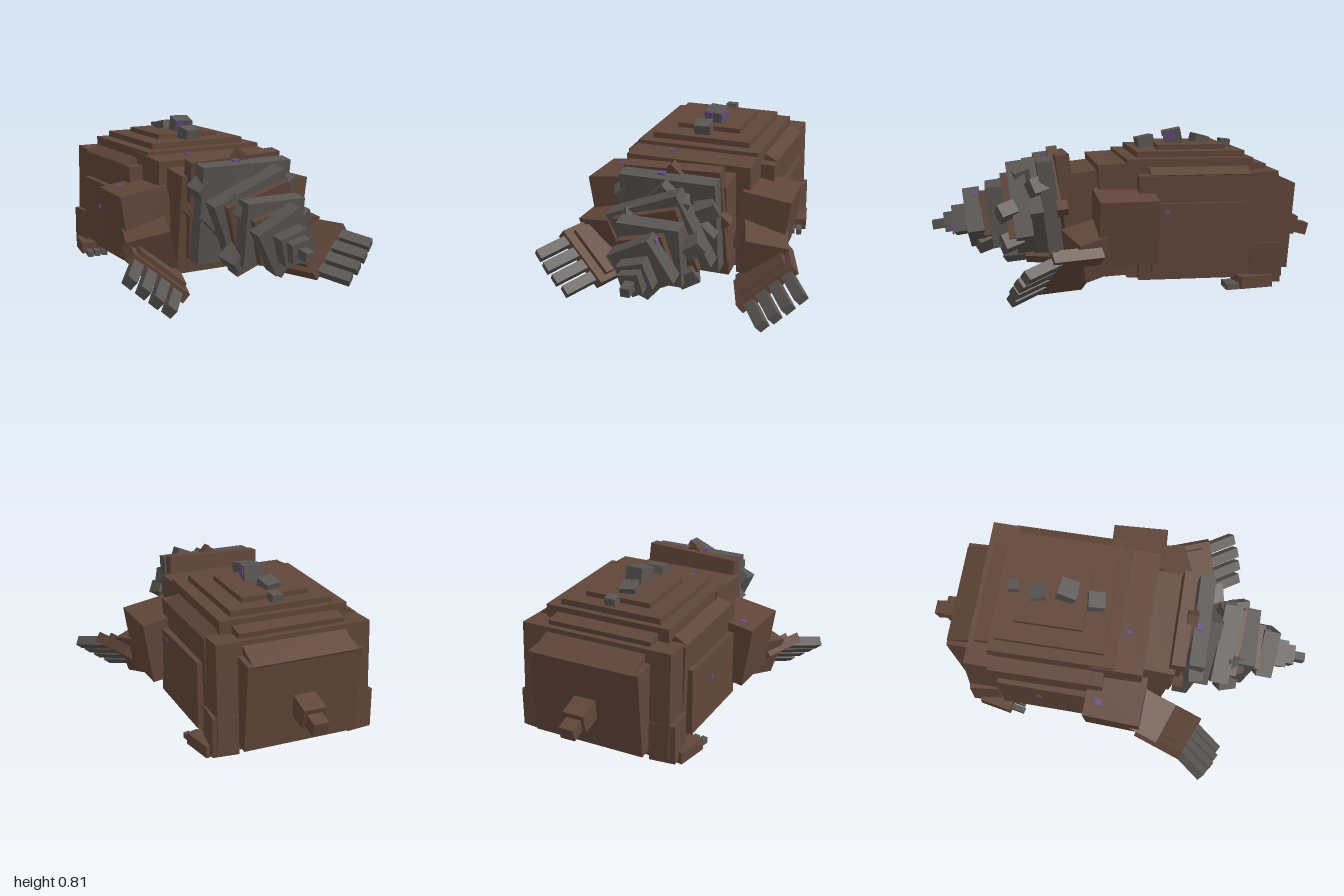
import * as THREE from 'three';

export function createModel() {
  const model = new THREE.Group();
  const CX = -0.02; // symmetry plane of the body
  const mat = (name, color) => {
    const m = new THREE.MeshStandardMaterial({ color });
    m.name = name;
    return m;
  };
  const fur = mat('brown fur', 0x61463a);
  const stone = mat('grey stone', 0x595552);
  const gem = mat('purple speck', 0x68498a);

  // Box by centre, size and rotation
  function box(name, m, pos, size, rot = [0, 0, 0], parent = model) {
    const mesh = new THREE.Mesh(new THREE.BoxGeometry(...size), m);
    mesh.name = name;
    mesh.position.set(...pos);
    mesh.rotation.set(...rot);
    parent.add(mesh);
    return mesh;
  }
  // Box by its limits
  const span = (name, m, [x0, x1], [y0, y1], [z0, z1], rx = 0) =>
    box(name, m, [(x0 + x1) / 2, (y0 + y1) / 2, (z0 + z1) / 2],
      [x1 - x0, y1 - y0, z1 - z0], [rx, 0, 0]);

  // Body, from front to back
  span('neck', fur, [-0.305, 0.235], [0.1, 0.605], [0.08, 0.3], 0.12);
  span('chest', fur, [-0.35, 0.31], [0.09, 0.65], [-0.1, 0.16], 0.05);
  span('torso', fur, [-0.345, 0.31], [0.075, 0.67], [-0.61, 0.03]);
  span('belly', fur, [-0.29, 0.25], [0.065, 0.08], [-0.56, -0.04]);
  span('hip', fur, [-0.41, 0.375], [0.07, 0.605], [-0.735, -0.57], 0.05);
  span('rump', fur, [-0.305, 0.27], [0.1, 0.54], [-0.825, -0.64], -0.08);
  span('rumpSlope', fur, [-0.28, 0.245], [0.48, 0.57], [-0.835, -0.66], -0.42);
  span('hipTop', fur, [-0.29, 0.25], [0.6, 0.64], [-0.69, -0.55], -0.12);

  // Stepped hump
  span('humpLower', fur, [-0.285, 0.245], [0.66, 0.7], [-0.58, -0.03]);
  span('humpUpper', fur, [-0.19, 0.155], [0.69, 0.725], [-0.5, -0.15]);

  // Stones along the spine
  const spine = [
    [-0.03, 0.72, -0.11, 0.085, 0.2, 0.12],
    [-0.005, 0.75, -0.255, 0.095, 0.2, -0.15],
    [-0.03, 0.725, -0.4, 0.08, -0.25, 0.25],
    [-0.005, 0.715, -0.53, 0.055, -0.1, 0.05],
  ];
  for (const [x, y, z, s, rx, ry] of spine) {
    const rock = box('spineStone', stone, [x, y, z], [s, s * 0.9, s], [rx, ry, 0]);
    if (s > 0.09) {
      box('stoneSpeck', gem, [s / 2 + 0.002, 0.015, 0.01], [0.005, 0.035, 0.06], [0, 0, 0], rock);
      box('stoneSpeck', gem, [-0.025, 0.028, s / 2 + 0.002], [0.045, 0.028, 0.005], [0, 0, 0], rock);
    }
  }

  // Tail
  box('tailBase', fur, [CX, 0.285, -0.865], [0.11, 0.1, 0.13], [-0.25, 0, 0]);
  box('tailTip', fur, [CX, 0.255, -0.95], [0.075, 0.065, 0.095], [-0.25, 0, 0]);

  // Digging snout: shrinking plates, each twisted about a lowered axis
  const snout = new THREE.Group();
  snout.name = 'snout';
  model.add(snout);
  const axisY = z => 0.42 - (z - 0.36) * 0.175;
  const plates = [ // z, width, depth, twist, material
    [0.31, 0.5, 0.07, 0.04, fur],
    [0.345, 0.41, 0.055, 0.78, fur],
    [0.4, 0.49, 0.08, 0, stone],
    [0.47, 0.36, 0.07, 0.78, stone],
    [0.545, 0.4, 0.09, 0.4, stone],
    [0.6, 0.34, 0.05, 0.3, fur],
    [0.665, 0.31, 0.085, 0, stone],
    [0.72, 0.23, 0.05, 0.25, fur],
    [0.78, 0.24, 0.085, 0.5, stone],
    [0.845, 0.14, 0.09, 0.3, stone],
    [0.9, 0.1, 0.07, 0.2, stone],
    [0.955, 0.045, 0.085, 0, stone],
  ];
  for (const [z, w, d, twist, m] of plates)
    box('snoutPlate', m, [CX, axisY(z), z], [w, w, d], [0.13, 0, twist], snout);

  // Rough blocks lodged between the snout plates
  const rocks = [ // x, y, z, size, twist
    [-0.26, 0.55, 0.42, 0.08, 0.6], [0.08, 0.57, 0.55, 0.085, 1.1],
    [0.17, 0.4, 0.62, 0.09, 0.5], [-0.16, 0.48, 0.62, 0.09, 0.9],
    [0.13, 0.24, 0.6, 0.1, 0.4], [-0.17, 0.24, 0.6, 0.1, 0.7],
    [0.18, 0.53, 0.46, 0.1, 0.3], [-0.02, 0.22, 0.73, 0.09, 0.8],
  ];
  for (const [x, y, z, s, twist] of rocks)
    box('snoutRock', stone, [x, y, z], [s, s * 0.8, s], [0.3, 0.35, twist], snout);

  // Limbs, built once per side
  for (const s of [1, -1]) {
    const at = (x, y, z) => [CX + s * x, y, z];

    // Flank panels
    box('flankInner', fur, at(0.35, 0.335, -0.31), [0.09, 0.52, 0.58], [0, 0, -s * 0.03]);
    box('flankOuter', fur, at(0.392, 0.29, -0.32), [0.07, 0.34, 0.48], [0, s * 0.02, 0]);
    box('flankRidge', fur, at(0.345, 0.57, -0.33), [0.07, 0.1, 0.5], [0, 0, -s * 0.5]);

    // Hind leg, foot and toes
    box('hindLeg', fur, at(0.345, 0.15, -0.665), [0.13, 0.2, 0.15], [0, -s * 0.1, 0]);
    box('hindFoot', fur, at(0.385, 0.06, -0.595), [0.13, 0.06, 0.17], [0, s * 0.2, 0]);
    for (let i = -1; i <= 1; i++)
      box('hindToe', stone, at(0.395 + i * 0.04, 0.04, -0.49), [0.03, 0.03, 0.08], [0, s * 0.2, 0]);

    // Front arm
    box('shoulder', fur, at(0.393, 0.35, 0.05), [0.25, 0.32, 0.29], [0, s * 0.05, -s * 0.15]);
    box('forearm', fur, at(0.41, 0.24, 0.215), [0.22, 0.2, 0.2], [0.25, s * 0.3, -s * 0.3]);

    // Shovel hand, rolled outward, with four claws
    const hand = new THREE.Group();
    hand.name = 'hand';
    hand.position.set(s * 0.452 - 0.007, 0.145, 0.34);
    hand.rotation.set(0, s * 0.35, s * 0.68, 'YXZ');
    model.add(hand);
    box('palm', fur, [0, 0, 0], [0.34, 0.055, 0.26], [0, 0, 0], hand);
    box('wrist', fur, [0, 0.018, -0.02], [0.28, 0.065, 0.2], [0, 0, 0], hand);
    for (let i = -1.5; i <= 1.5; i++)
      box('claw', stone, [s * (0.01 + i * 0.077), -0.035, 0.195 - Math.abs(i) * 0.01],
        [0.055, 0.052, 0.21], [0.34, s * 0.08, 0], hand);
  }

  // Remaining specks
  box('flankSpeck', gem, [0.408, 0.42, -0.155], [0.009, 0.022, 0.022]);
  box('flankSpeck', gem, [-0.447, 0.33, -0.35], [0.009, 0.022, 0.022]);
  box('shoulderSpeck', gem, [-0.475, 0.5, -0.03], [0.03, 0.009, 0.03], [0, 0, 0.15]);
  box('backSpeck', gem, [-0.14, 0.652, 0.075], [0.022, 0.009, 0.022], [0.05, 0, 0]);
  box('snoutSpeck', gem, [-0.06, 0.663, 0.42], [0.035, 0.009, 0.03], [0.13, 0, 0]);
  box('snoutSpeck', gem, [0.01, 0.275, 0.892], [0.02, 0.02, 0.009], [0.13, 0, 0.5]);
  box('snoutSpeck', gem, [-0.25, 0.39, 0.443], [0.022, 0.022, 0.009], [0.13, 0, 0]);
  box('snoutSpeck', gem, [0.045, 0.482, 0.775], [0.009, 0.025, 0.03], [0.13, 0, 0.5]);
  box('snoutSpeck', gem, [0.031, 0.31, 0.89], [0.009, 0.025, 0.03], [0.13, 0, 0.2]);
  return model;
}
